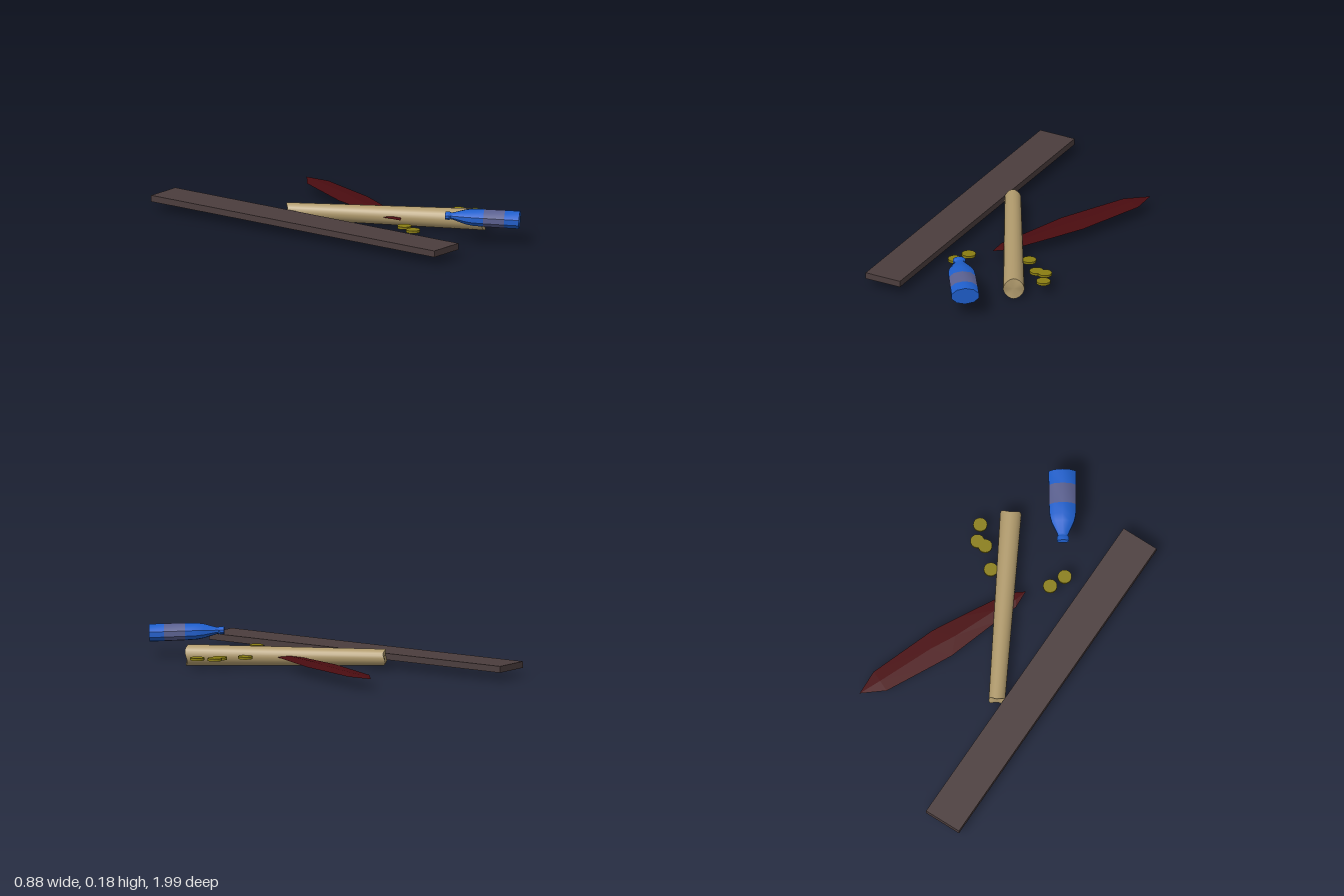
import * as THREE from 'three';
import { toCreasedNormals } from 'three/addons/utils/BufferGeometryUtils.js';

const mat = (color, flatShading = false) => new THREE.MeshStandardMaterial({ color, flatShading });

function mesh(name, geometry, material) {
  const m = new THREE.Mesh(geometry, material);
  m.name = name;
  return m;
}

// Places an object so its local y runs from a to b and its local z points up.
function layAlong(object, a, b) {
  const y = b.clone().sub(a).normalize();
  const x = y.clone().cross(new THREE.Vector3(0, 1, 0)).normalize();
  const z = x.clone().cross(y);
  object.quaternion.setFromRotationMatrix(new THREE.Matrix4().makeBasis(x, y, z));
  object.position.copy(a);
  return object;
}

// Tapered log with slightly uneven sawn ends
function createLog() {
  const back = new THREE.Vector3(-0.207, 0.065, -0.28);
  const front = new THREE.Vector3(0.303, 0.058, 0.628);
  const length = back.distanceTo(front);
  const geo = new THREE.CylinderGeometry(0.056, 0.043, length, 20);
  geo.translate(0, length / 2, 0);
  const p = geo.attributes.position;
  for (let i = 0; i < p.count; i++) {
    const x = p.getX(i), z = p.getZ(i);
    if (Math.hypot(x, z) > 0.001) p.setY(i, p.getY(i) + 0.006 * Math.sin(3 * Math.atan2(z, x)));
  }
  return layAlong(mesh('log', toCreasedNormals(geo, 0.7), mat(0xb09a6c)), back, front);
}

// Flattened bottle lying on its side, in three bands
function createBottle() {
  const bottle = new THREE.Group();
  bottle.name = 'bottle';
  const blue = mat(0x1f5fcc), band = mat(0x5a6090);
  const parts = [
    ['bottleBase', blue, [[0, 0], [0.075, 0], [0.075, 0.078]]],
    ['bottleLabel', band, [[0.075, 0.078], [0.074, 0.187]]],
    ['bottleShoulderAndNeck', blue, [[0.074, 0.187], [0.071, 0.247], [0.061, 0.285],
      [0.029, 0.352], [0.028, 0.362], [0.034, 0.368], [0.034, 0.39], [0, 0.39]]],
  ];
  for (const [name, material, profile] of parts) {
    const geo = new THREE.LatheGeometry(profile.map(q => new THREE.Vector2(...q)), 10);
    geo.scale(1, 1, 0.62);
    bottle.add(mesh(name, toCreasedNormals(geo, 0.75), material));
  }
  return layAlong(bottle, new THREE.Vector3(0.192, 0.13, 0.95), new THREE.Vector3(-0.026, 0.146, 0.625));
}

// Blade lofted through diamond sections: left x, z, right x, z, half thickness
function createBlade() {
  const y = 0.063;
  const sections = [
    [0.0, 0.31, 0.0, 0.31, 0],
    [-0.005, 0.21, 0.04, 0.28, 0.005],
    [0.035, 0.09, 0.116, 0.177, 0.007],
    [0.127, -0.2, 0.215, 0.0, 0.008],
    [0.19, -0.325, 0.29, -0.14, 0.008],
    [0.305, -0.55, 0.42, -0.5, 0.006],
    [0.415, -0.64, 0.415, -0.64, 0],
  ];
  const pos = [], index = [];
  sections.forEach(([lx, lz, rx, rz, h], i) => {
    const mx = (lx + rx) / 2, mz = (lz + rz) / 2;
    pos.push(lx, y, lz, mx, y + h, mz, rx, y, rz, mx, y - h, mz);
    if (i === 0) return;
    for (let k = 0; k < 4; k++) {
      const a = (i - 1) * 4 + k, b = (i - 1) * 4 + (k + 1) % 4;
      index.push(a, b, b + 4, a, b + 4, a + 4);
    }
  });
  const geo = new THREE.BufferGeometry();
  geo.setAttribute('position', new THREE.Float32BufferAttribute(pos, 3));
  geo.setIndex(index);
  geo.computeVertexNormals();
  return mesh('blade', geo, mat(0x4a0c10, true));
}

export function createModel() {
  const model = new THREE.Group();

  // Long flat plank
  const plank = mesh('plank', new THREE.BoxGeometry(0.205, 0.034, 1.88), mat(0x4b3d3d));
  plank.position.set(-0.34, 0.063, -0.06);
  model.add(plank, createLog(), createBlade(), createBottle());

  // Scattered coins
  const coinGeo = toCreasedNormals(new THREE.CylinderGeometry(0.037, 0.037, 0.013, 20), 0.7);
  const gold = mat(0x8a7d12);
  const coins = [[-0.09, 0.405], [-0.125, 0.49], [0.22, 0.312], [0.316, 0.405], [0.365, 0.405], [0.403, 0.49]];
  for (const [x, z] of coins) {
    const coin = mesh('coin', coinGeo, gold);
    coin.position.set(x, 0.063, z);
    model.add(coin);
  }
  return model;
}
